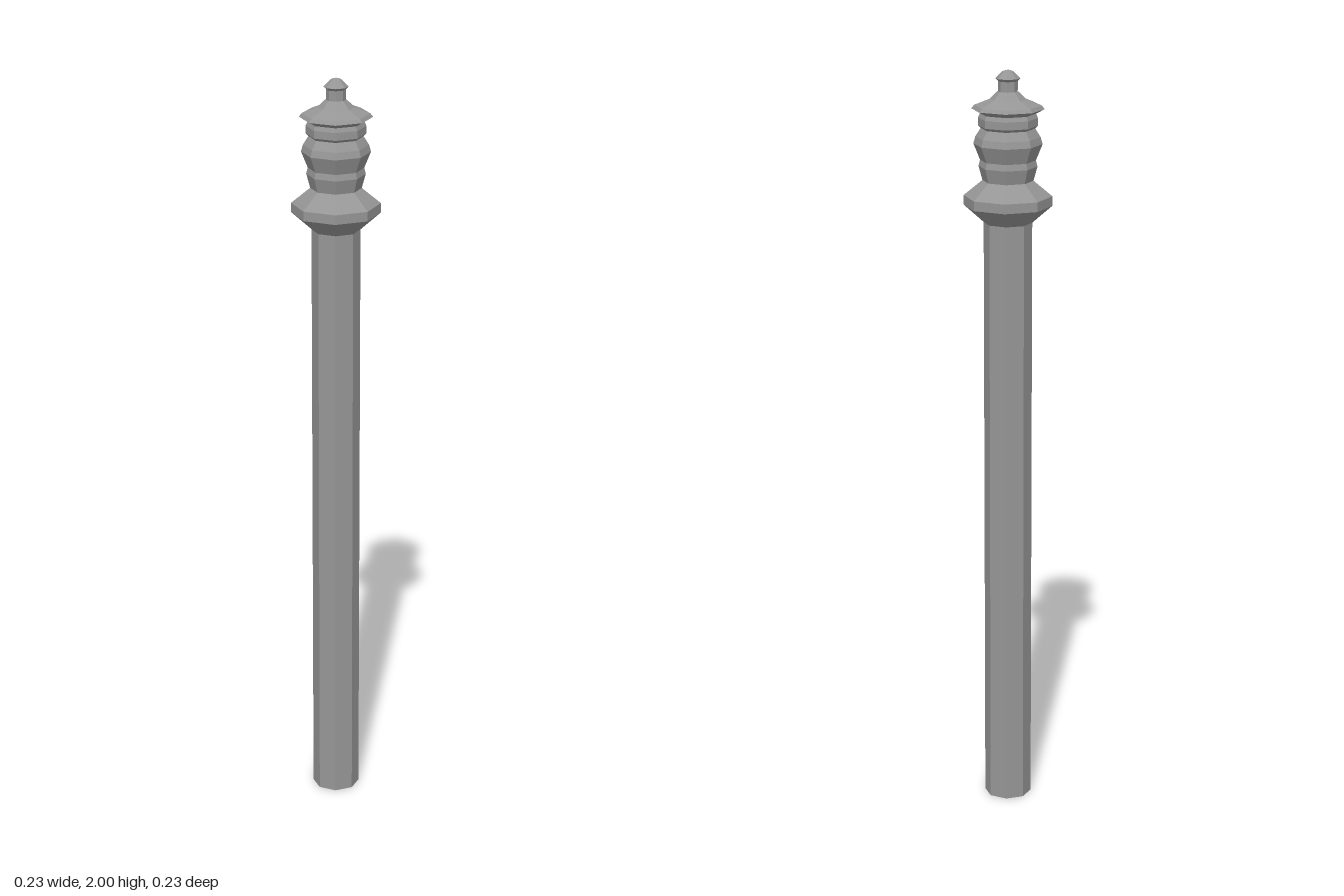
import * as THREE from 'three';

const SIDES = 8;

export function createModel() {
  const group = new THREE.Group();
  group.name = 'post';
  const material = new THREE.MeshStandardMaterial({ color: 0x969696, flatShading: true });

  // Turned eight-sided part from [radius, height] pairs, listed bottom to top
  function turned(name, profile) {
    const points = profile.map(([r, y]) => new THREE.Vector2(r, y));
    const mesh = new THREE.Mesh(new THREE.LatheGeometry(points, SIDES), material);
    mesh.name = name;
    group.add(mesh);
  }

  // Long plain shaft with closed foot
  turned('shaft', [[0, 0], [0.063, 0], [0.063, 1.61]]);

  // Wide flared collar on top of the shaft
  turned('collar', [[0.063, 1.605], [0.115, 1.65], [0.115, 1.675], [0.066, 1.715]]);

  // Double bulge
  turned('baluster', [
    [0.066, 1.715], [0.076, 1.752], [0.072, 1.768],
    [0.089, 1.81], [0.084, 1.828], [0.07, 1.85],
  ]);

  // Stepped cap with sloping roof
  turned('cap', [
    [0.07, 1.85], [0.077, 1.857], [0.077, 1.877], [0.072, 1.888],
    [0.094, 1.9], [0.087, 1.909], [0.047, 1.925], [0.027, 1.945],
  ]);

  // Small finial with a domed button
  turned('finial', [
    [0.025, 1.94], [0.025, 1.971], [0.032, 1.978], [0.014, 1.996], [0, 2],
  ]);

  return group;
}
